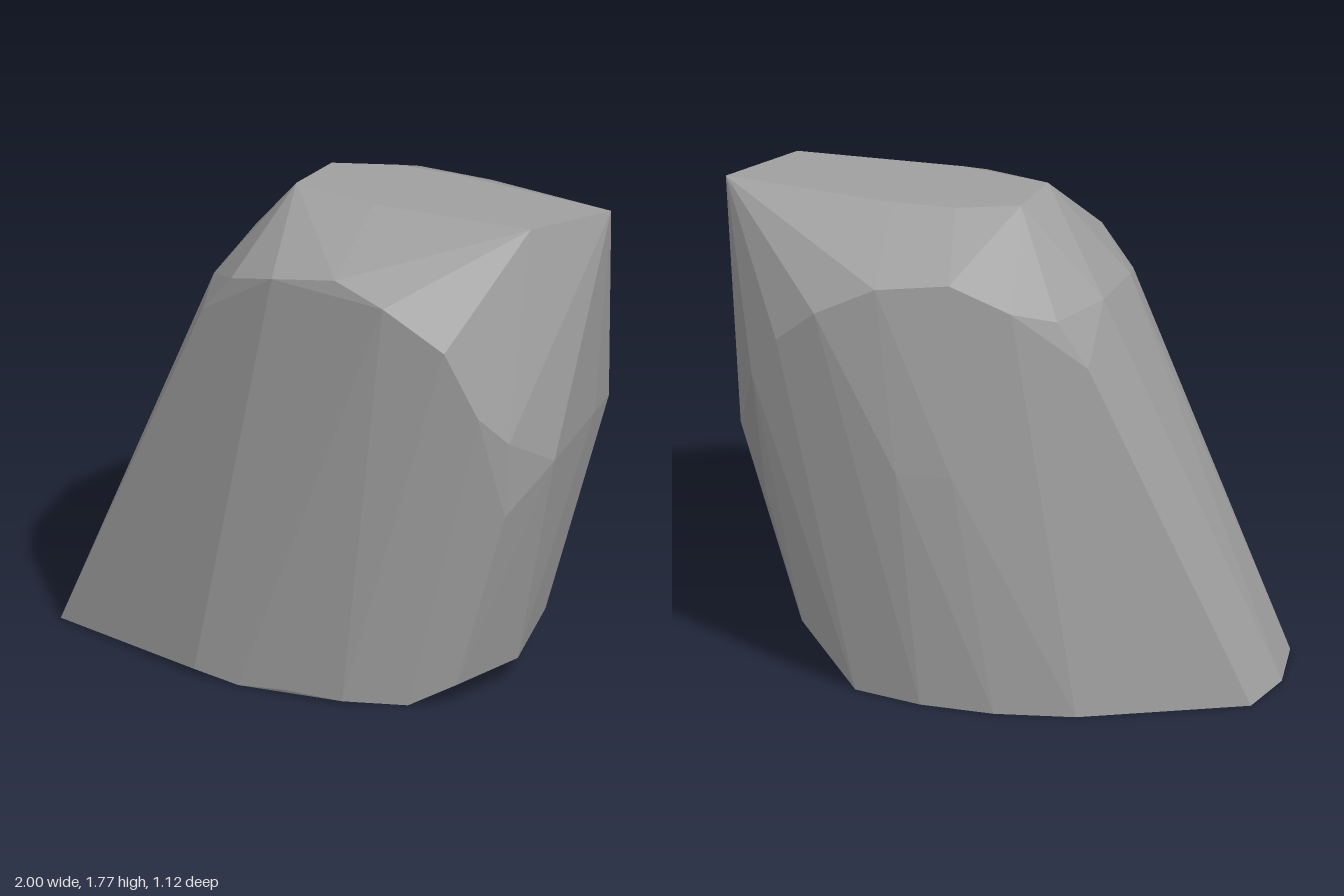
import * as THREE from 'three';
import { ConvexGeometry } from 'three/addons/geometries/ConvexGeometry.js';

// Flat crown at the top, as [x, z]
const TOP = 1.77;
const crown = [
  [-0.12, 0.11], [-0.07, -0.10], [0.15, -0.17], [0.38, -0.17],
  [1.0, -0.08], [0.8, 0.18], [0.2, 0.18],
];

// Chipped rim around the front face, from low left edge over the top
const frontRim = [
  [-0.37, 1.35, 0.37], [-0.25, 1.5, 0.4], [-0.06, 1.565, 0.49], [0.19, 1.61, 0.515],
  [0.39, 1.55, 0.558], [0.61, 1.4, 0.525], [0.72, 1.15, 0.48], [0.81, 1.04, 0.41],
];

// Matching rim around the back face
const backRim = [
  [-0.38, 1.3, -0.4], [-0.27, 1.475, -0.41], [-0.12, 1.52, -0.48], [0.1, 1.62, -0.505],
  [0.36, 1.595, -0.54], [0.58, 1.48, -0.535], [0.73, 1.34, -0.48], [0.83, 1.17, -0.42],
];

// Sloping shoulder and the bulging end
const sides = [
  [-0.4, 1.41, 0.19], [-0.38, 1.46, -0.15], [-0.4, 1.28, -0.33],
  [0.91, 0.92, 0.23], [0.92, 0.965, -0.12], [0.89, 0.94, -0.33],
  [0.79, 0.75, 0.4], [0.79, 0.7, -0.37], [0.28, 0.9, -0.56], [0.08, 0.9, -0.555],
];

// Undercut foot and the ground outline
const foot = [
  [0.61, 0.08, 0.41], [0.73, 0.09, 0.13], [0.73, 0.175, -0.13], [0.66, 0.21, -0.37],
  [0.45, 0, 0.47], [0.23, 0.01, 0.545], [0, 0.015, 0.54], [-0.17, 0, 0.53], [-0.35, 0.02, 0.5],
  [-0.97, 0, 0.22], [-1, 0, -0.05], [-0.94, 0, -0.28],
  [-0.36, 0, -0.51], [-0.07, 0, -0.545], [0.2, 0, -0.525], [0.45, 0, -0.45],
];

export function createModel() {
  const stone = new THREE.MeshStandardMaterial({ color: 0xa0a0a0, flatShading: true });
  stone.name = 'stone grey';

  // Faceted boulder stretched over the outlines
  const points = [
    ...crown.map(([x, z]) => [x, TOP, z]), ...frontRim, ...backRim, ...sides, ...foot,
  ].map((p) => new THREE.Vector3(...p));
  const boulder = new THREE.Mesh(new ConvexGeometry(points), stone);
  boulder.name = 'boulder';

  const group = new THREE.Group();
  group.name = 'rock';
  group.add(boulder);
  return group;
}
